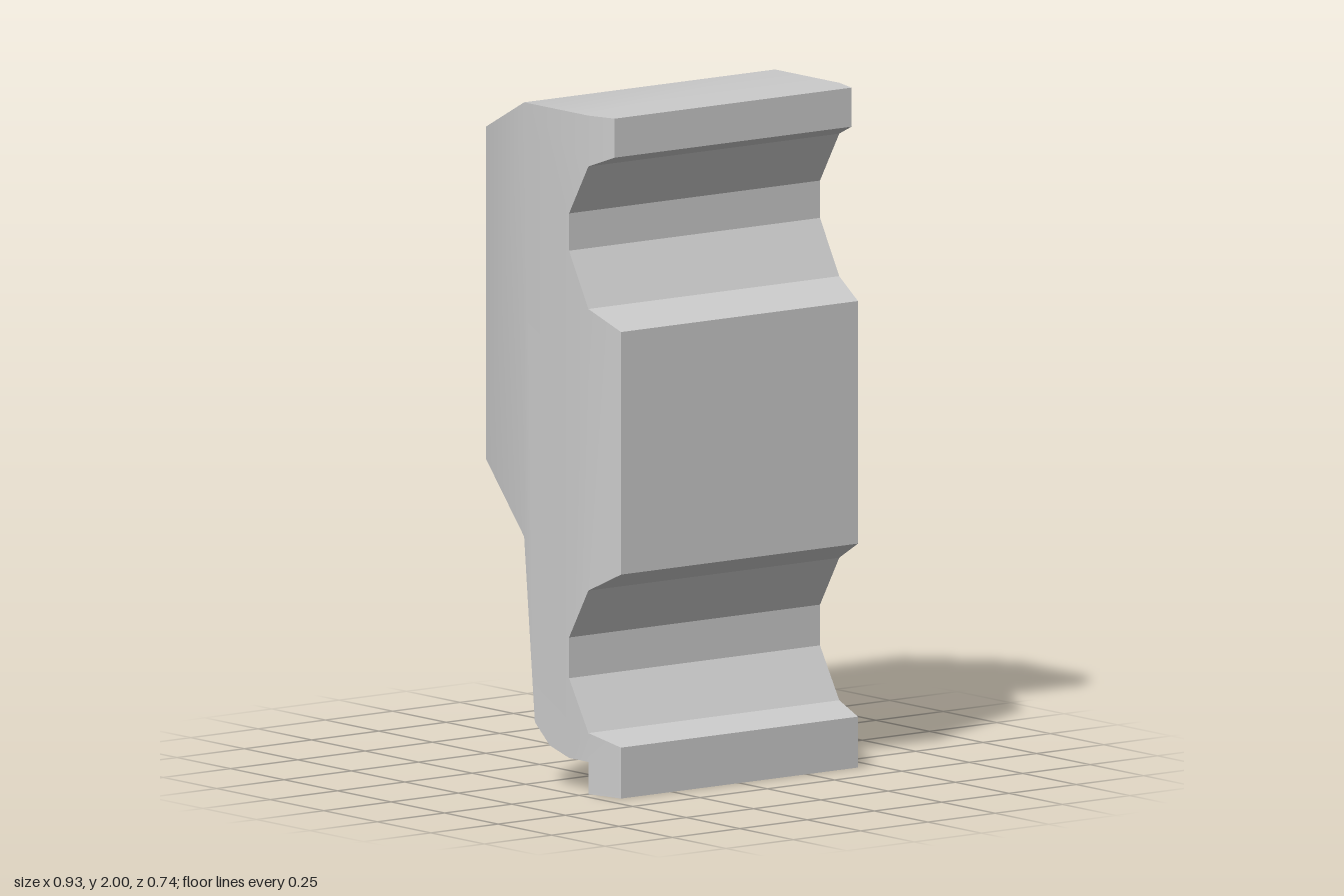
import * as THREE from 'three';
import { toCreasedNormals } from 'three/addons/utils/BufferGeometryUtils.js';

// Side profile as [z, y], running down the back, then up the front
const PROFILE = [
  [-0.05, 2], [-0.37, 1.875], [-0.37, 0.895], [-0.05, 0.72],              // back block
  [0, 0.18], [0.07, 0.12], [0.16, 0.095], [0.25, 0.095],                  // rounded underside
  [0.25, 0], [0.37, 0], [0.37, 0.15], [0.25, 0.18],                       // bottom lip
  [0.16, 0.33], [0.16, 0.45], [0.25, 0.6],                                // lower groove
  [0.37, 0.66], [0.37, 1.375], [0.25, 1.43],                              // front panel
  [0.16, 1.59], [0.16, 1.7], [0.25, 1.85],                                // upper groove
  [0.34, 1.885], [0.34, 2], [0.25, 2],                                    // top lip
];

// Planar zones of the side faces, as profile indices
const ZONES = [
  [0, 1, 2, 3],
  [7, 8, 9, 10, 11],
  [14, 15, 16, 17],
  [20, 21, 22, 23],
  [0, 3, 4, 5, 6, 7, 11, 12, 13, 14, 17, 18, 19, 20, 23],
];

// Half width: full in the middle, tapering to the back and slightly to the front
function halfWidth(z) {
  if (z < -0.3) return 0.353;
  if (z > 0.3) return 0.44;
  return 0.466;
}

function createBodyGeometry() {
  const positions = [];
  const corner = (i, side) => {
    const [z, y] = PROFILE[i];
    return [side * halfWidth(z), y, z];
  };
  const triangle = (a, b, c) => positions.push(...a, ...b, ...c);

  // Walls across the width
  PROFILE.forEach((_, i) => {
    const j = (i + 1) % PROFILE.length;
    const a = corner(i, -1), b = corner(i, 1), c = corner(j, 1), d = corner(j, -1);
    triangle(a, b, c);
    triangle(a, c, d);
  });

  // Mirrored side faces
  for (const zone of ZONES) {
    const contour = zone.map((i) => new THREE.Vector2(...PROFILE[i]));
    for (const face of THREE.ShapeUtils.triangulateShape(contour, [])) {
      const [a, b, c] = face.map((k) => zone[k]);
      triangle(corner(a, -1), corner(b, -1), corner(c, -1));
      triangle(corner(a, 1), corner(c, 1), corner(b, 1));
    }
  }

  const geometry = new THREE.BufferGeometry();
  geometry.setAttribute('position', new THREE.Float32BufferAttribute(positions, 3));
  return toCreasedNormals(geometry, 0.42);
}

export function createModel() {
  const group = new THREE.Group();
  group.name = 'mouldedBlock';
  const body = new THREE.Mesh(
    createBodyGeometry(),
    new THREE.MeshStandardMaterial({ color: 0xcccccc })
  );
  body.name = 'body';
  group.add(body);
  return group;
}
